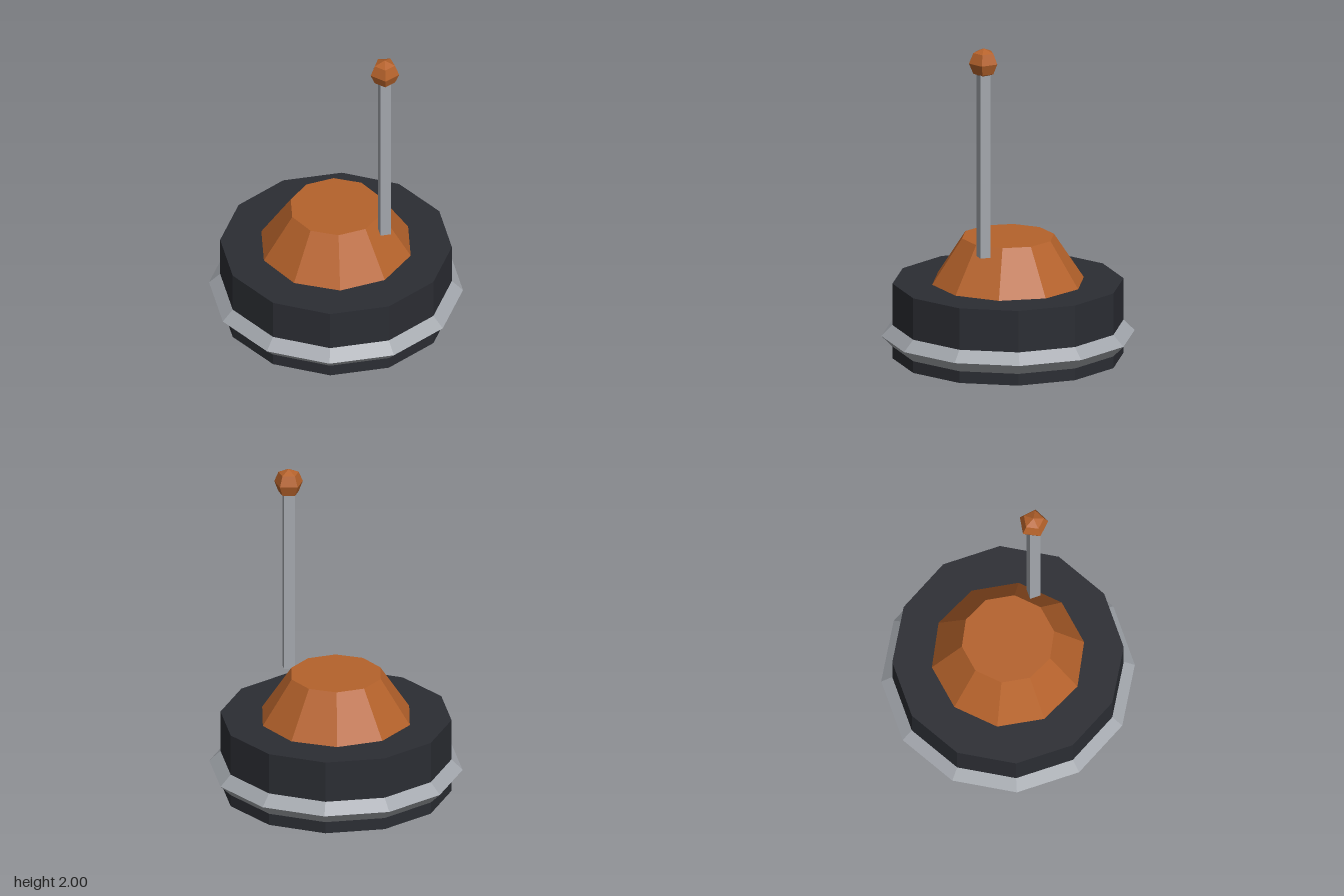
import * as THREE from 'three';

export function createModel() {
  const model = new THREE.Group();
  const mat = (color) => new THREE.MeshStandardMaterial({ color, flatShading: true });
  const dark = mat(0x2b2d33);
  const metal = mat(0xa3a7ad);
  const orange = mat(0xb5622b);

  const add = (name, geometry, material, x, y) => {
    const mesh = new THREE.Mesh(geometry, material);
    mesh.name = name;
    mesh.position.set(x, y, 0);
    model.add(mesh);
  };

  // Twelve-sided body standing on the ground
  add('base', new THREE.CylinderGeometry(0.698, 0.698, 0.465, 12), dark, 0, 0.2325);

  // Diamond-section bumper ring around the body
  add('bumperRing', new THREE.TorusGeometry(0.698, 0.067, 4, 12).rotateX(Math.PI / 2), metal, 0, 0.14);

  // Ten-sided tapered cap
  add('cap', new THREE.CylinderGeometry(0.282, 0.465, 0.279, 10), orange, 0, 0.6045);

  // Square antenna rod, ending inside the tip
  add('antennaRod', new THREE.CylinderGeometry(0.0465, 0.0465, 1.163, 4), metal, 0.349, 1.2815);

  // Five-sided tip with one corner pointing back
  add('antennaTip', new THREE.SphereGeometry(0.0905, 5, 4, -Math.PI / 2), orange, 0.349, 1.9095);

  return model;
}
